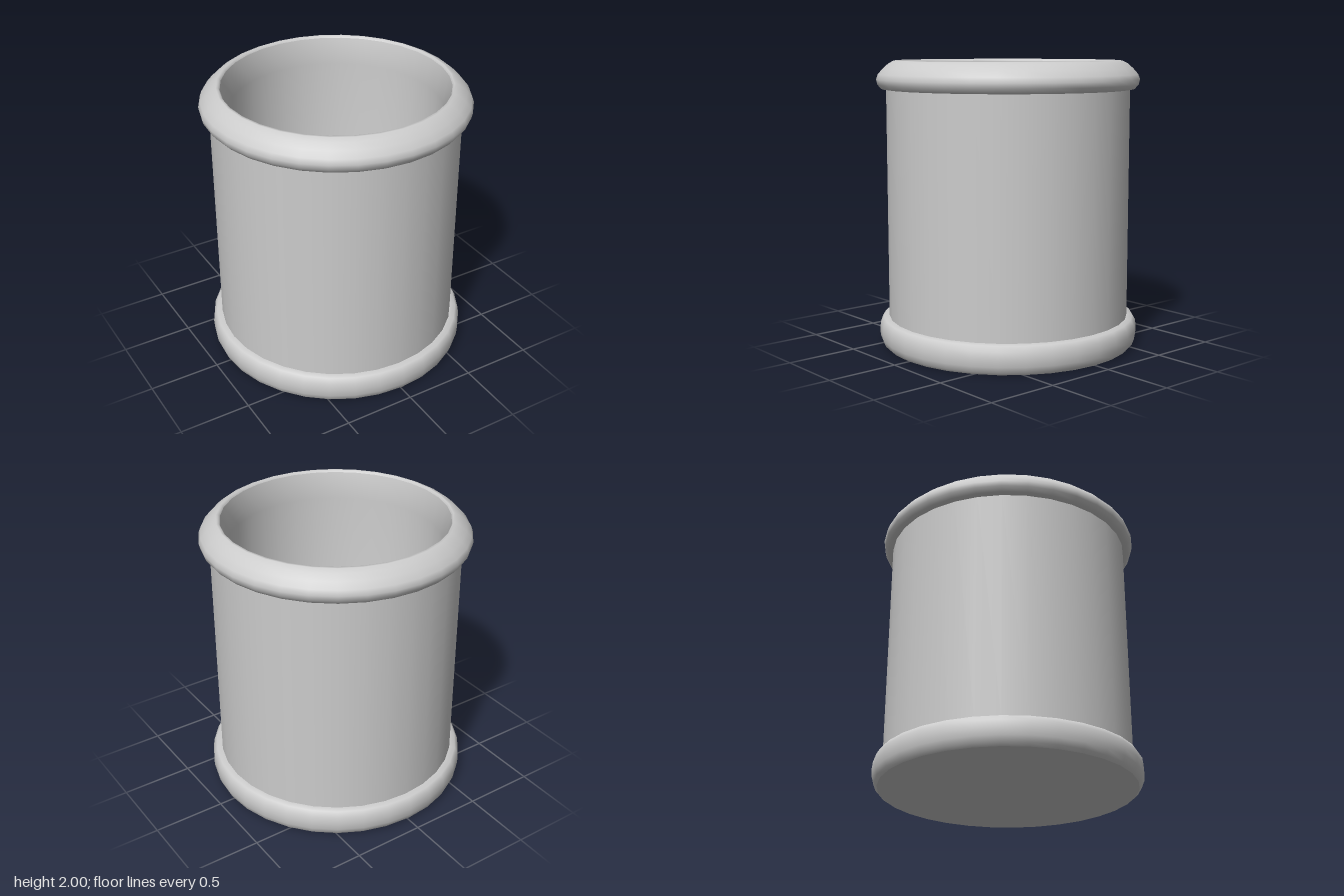
import * as THREE from 'three';

const SEGMENTS = 32;

export function createModel() {
  const group = new THREE.Group();
  group.name = 'jar';
  const material = new THREE.MeshStandardMaterial({ color: 0xcccccc });

  // Revolves a [radius, height] profile, outside running upwards
  const turn = (name, profile) => {
    const points = profile.map(([r, y]) => new THREE.Vector2(r, y));
    const mesh = new THREE.Mesh(new THREE.LatheGeometry(points, SEGMENTS), material);
    mesh.name = name;
    group.add(mesh);
  };

  // Flat underside
  turn('underside', [[0, 0], [0.88, 0]]);

  // Rounded foot band with its ledge
  turn('footBand', [
    [0.88, 0], [0.9, 0.02], [0.915, 0.06], [0.918, 0.11],
    [0.912, 0.16], [0.89, 0.195], [0.85, 0.2],
  ]);

  // Straight outer wall
  turn('wall', [[0.85, 0.2], [0.85, 1.8]]);

  // Rolled rim, rounding over into the mouth
  turn('rim', [
    [0.85, 1.8], [0.885, 1.805], [0.91, 1.835], [0.918, 1.87],
    [0.905, 1.905], [0.87, 1.945], [0.83, 1.98], [0.795, 1.998],
    [0.78, 2], [0.77, 1.985],
  ]);

  // Hollow interior: tapered mouth, straight wall and floor
  turn('interior', [[0.77, 1.985], [0.73, 1.8], [0.73, 0.2], [0.55, 0.2], [0, 0.2]]);

  return group;
}
